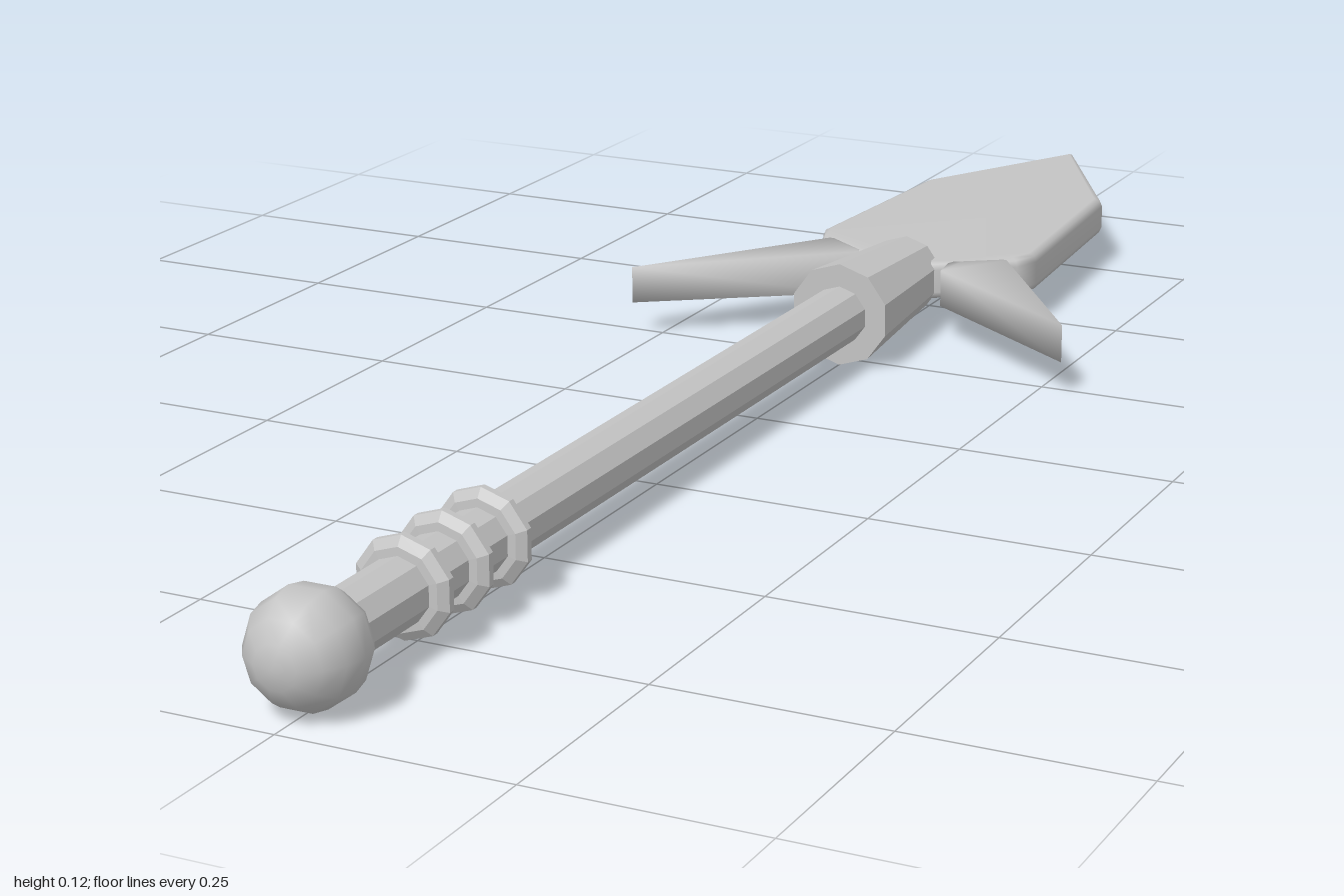
import * as THREE from 'three';
import { mergeVertices } from 'three/addons/utils/BufferGeometryUtils.js';

const AXIS_Y = 0.065; // height of the spear's long axis
const SIDES = 10;

const steel = new THREE.MeshStandardMaterial({ color: 0xc4c4c4 });
steel.name = 'light grey';

// Faceted normals
function flat(geometry) {
  const g = geometry.index ? geometry.toNonIndexed() : geometry;
  g.computeVertexNormals();
  return g;
}

// Soft normals shared over all edges
function smooth(geometry) {
  geometry.deleteAttribute('normal');
  geometry.deleteAttribute('uv');
  const g = mergeVertices(geometry, 1e-4);
  g.computeVertexNormals();
  return g;
}

// Plate with outline points [x, z], lying flat and centred on the axis height
function plate(outline, thickness, bevel) {
  const shape = new THREE.Shape(outline.map(([x, z]) => new THREE.Vector2(x, -z)));
  const g = new THREE.ExtrudeGeometry(shape, {
    depth: thickness - 2 * bevel,
    bevelEnabled: bevel > 0,
    bevelThickness: bevel,
    bevelSize: bevel,
    bevelOffset: -bevel,
    bevelSegments: 2,
  });
  g.translate(0, 0, -(thickness - 2 * bevel) / 2);
  g.rotateX(-Math.PI / 2);
  return smooth(g);
}

export function createModel() {
  const spear = new THREE.Group();
  spear.name = 'spear';

  const add = (name, geometry, z = 0) => {
    const mesh = new THREE.Mesh(geometry, steel);
    mesh.name = name;
    mesh.position.set(0, AXIS_Y, z);
    spear.add(mesh);
  };

  // Shaft
  add('shaft', flat(new THREE.CylinderGeometry(0.035, 0.035, 1.2, SIDES).rotateX(Math.PI / 2)), 0.3);

  // Pommel ball
  add('pommel', new THREE.SphereGeometry(0.061, SIDES, 8).rotateX(Math.PI / 2), 0.939);

  // Grip rings with a ridged rim
  const ringProfile = [[0.03, -0.012], [0.044, -0.011], [0.054, -0.004], [0.054, 0.004], [0.044, 0.011], [0.03, 0.012]]
    .map(([r, h]) => new THREE.Vector2(r, h));
  for (const z of [0.62, 0.695, 0.77]) {
    add('gripRing', flat(new THREE.LatheGeometry(ringProfile, SIDES).rotateX(Math.PI / 2)), z);
  }

  // Tapered collar, wider towards the shaft
  add('collar', flat(new THREE.CylinderGeometry(0.0625, 0.047, 0.2, SIDES).rotateX(Math.PI / 2)), -0.325);

  // Blade
  const half = [[0.04, -0.4], [0.132, -0.463], [0.145, -0.495], [0.125, -0.78]];
  const mirrored = half.map(([x, z]) => [-x, z]).reverse();
  add('blade', plate([...half, [0, -1], ...mirrored], 0.048, 0.01));

  // Swept barbs, one on each side
  const barb = [[0.065, -0.38], [0.281, -0.23], [0.12, -0.458], [0.08, -0.465], [0.06, -0.415]];
  add('leftBarb', plate(barb, 0.045, 0));
  add('rightBarb', plate(barb.map(([x, z]) => [-x, z]).reverse(), 0.045, 0));

  return spear;
}
